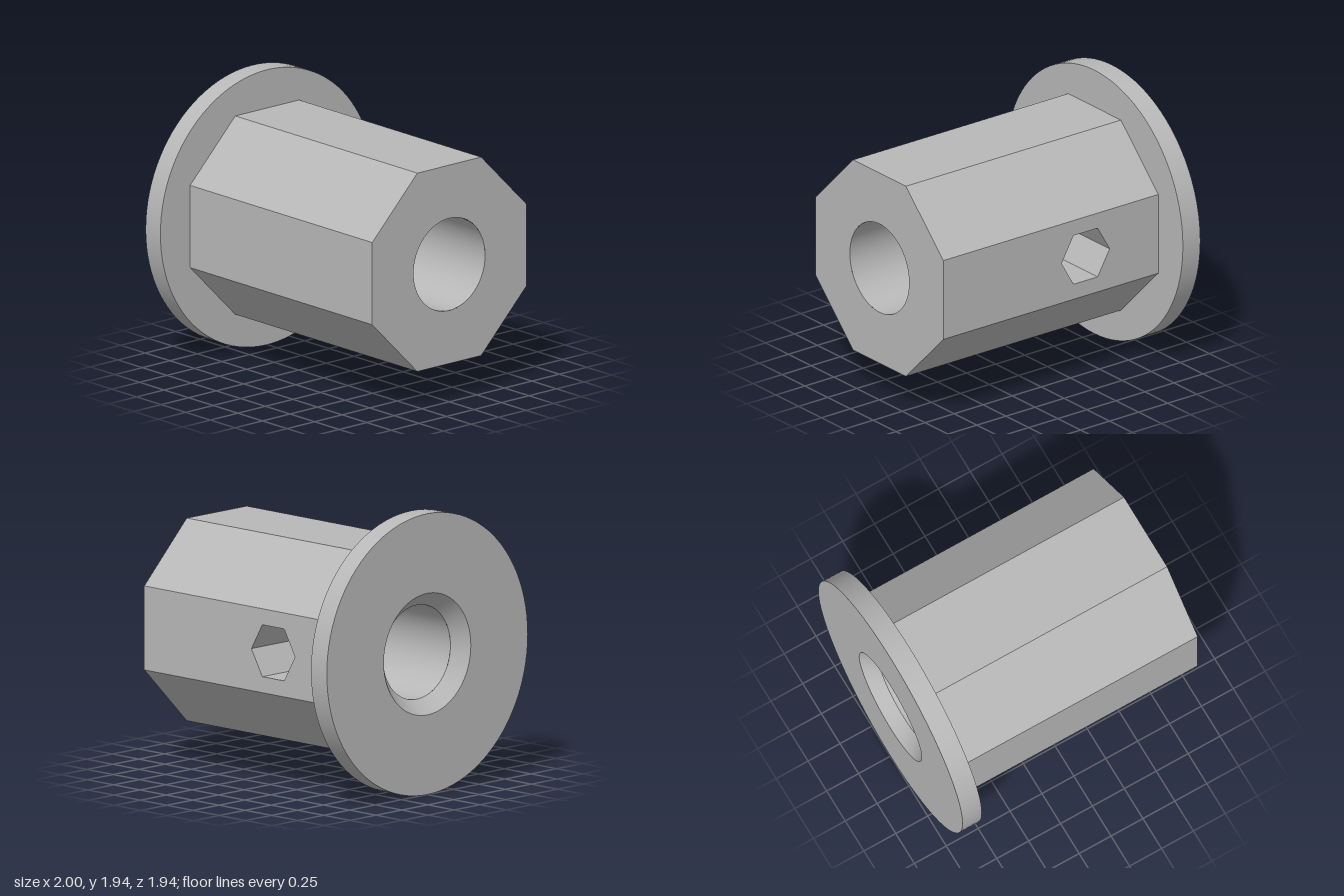
import * as THREE from 'three';
import { toCreasedNormals } from 'three/addons/utils/BufferGeometryUtils.js';

const AXIS_Y = 0.97;                       // height of the long axis
const FLANGE_R = 0.97, BORE_R = 0.325, SINK_R = 0.42;
const APOTHEM = 0.7, HALF_SIDE = APOTHEM * Math.tan(Math.PI / 8);
const X0 = -1, X1 = -0.85, X2 = 1, SINK_X = -0.9;
const HEX_X = -0.225, HEX_R = 0.207, HEX_H = HEX_R * Math.sqrt(3) / 2;
const DISC_X = 0.06, DISC_R = 0.28, DISC_DEPTH = 0.04;

// Smooth surface from a list of four-cornered patches
function patches(quads) {
  const pos = [];
  for (const [a, b, c, d] of quads) pos.push(...a, ...b, ...c, ...a, ...c, ...d);
  const g = new THREE.BufferGeometry();
  g.setAttribute('position', new THREE.Float32BufferAttribute(pos, 3));
  return toCreasedNormals(g, 0.5);
}

export function createModel() {
  const grey = new THREE.MeshStandardMaterial({ color: 0xb8b8b8 });
  grey.name = 'grey';
  const model = new THREE.Group();
  model.name = 'flangedOctagonalBush';
  const body = new THREE.Group();
  body.name = 'body';
  body.position.y = AXIS_Y;
  model.add(body);

  const add = (name, geometry) => {
    const mesh = new THREE.Mesh(geometry, grey);
    mesh.name = name;
    body.add(mesh);
    return mesh;
  };
  const band = (r0, h0, r1, h1) =>
    new THREE.LatheGeometry([new THREE.Vector2(r0, h0), new THREE.Vector2(r1, h1)], 96);

  // Flange with countersunk mouth, one band per face to keep edges sharp
  const flange = [
    ['countersink', BORE_R, SINK_X, SINK_R, X0],
    ['flangeOuterFace', SINK_R, X0, FLANGE_R, X0],
    ['flangeRim', FLANGE_R, X0, FLANGE_R, X1],
    ['flangeInnerFace', FLANGE_R, X1, 0.6, X1],
  ];
  for (const [name, ...profile] of flange) add(name, band(...profile).rotateZ(-Math.PI / 2));

  // Eight flat sides; the bottom has a round pocket, the back a hexagonal hole
  for (let i = 0; i < 8; i++) {
    const side = new THREE.Shape([
      new THREE.Vector2(X1, -HALF_SIDE), new THREE.Vector2(X2, -HALF_SIDE),
      new THREE.Vector2(X2, HALF_SIDE), new THREE.Vector2(X1, HALF_SIDE),
    ]);
    if (i === 2) side.holes.push(new THREE.Path().absarc(DISC_X, 0, DISC_R, 0, Math.PI * 2, true));
    if (i === 4) {
      const hex = [];
      for (let k = 0; k < 6; k++) {
        const a = -k * Math.PI / 3;
        hex.push(new THREE.Vector2(HEX_X + HEX_R * Math.cos(a), HEX_R * Math.sin(a)));
      }
      side.holes.push(new THREE.Path(hex));
    }
    add('sideFace' + i, new THREE.ShapeGeometry(side, 32)
      .translate(0, 0, APOTHEM).rotateX(i * Math.PI / 4));
  }

  // Octagonal end face around the bore
  const corners = [];
  for (let i = 0; i < 8; i++) {
    const a = (i + 0.5) * Math.PI / 4, r = APOTHEM / Math.cos(Math.PI / 8);
    corners.push(new THREE.Vector2(r * Math.cos(a), r * Math.sin(a)));
  }
  const end = new THREE.Shape(corners);
  end.holes.push(new THREE.Path().absarc(0, 0, BORE_R, 0, Math.PI * 2, true));
  add('endFace', new THREE.ShapeGeometry(end, 48).rotateY(Math.PI / 2).translate(X2, 0, 0));

  // Bore wall, opened where the hexagonal hole meets it (angle 0 is the back)
  const bore = [], hexWalls = [];
  const onBore = (x, t) => [x, BORE_R * Math.sin(t), -BORE_R * Math.cos(t)];
  const onSide = (x, t) => [x, BORE_R * Math.sin(t), -APOTHEM];
  const boreStrip = (xa, xb, ta, tb, xa2 = xa, xb2 = xb) =>
    bore.push([onBore(xa, ta), onBore(xb, ta), onBore(xb2, tb), onBore(xa2, tb)]);
  const T = Math.asin(HEX_H / BORE_R);
  const halfWidth = t => HEX_R - Math.abs(BORE_R * Math.sin(t)) / Math.sqrt(3);
  const N = 16, M = 60;
  for (let i = 0; i < N; i++) {
    const ta = -T + 2 * T * i / N, tb = -T + 2 * T * (i + 1) / N;
    const la = HEX_X - halfWidth(ta), lb = HEX_X - halfWidth(tb);
    const ra = HEX_X + halfWidth(ta), rb = HEX_X + halfWidth(tb);
    boreStrip(SINK_X, la, ta, tb, SINK_X, lb);
    boreStrip(ra, X2, ta, tb, rb, X2);
    hexWalls.push([onSide(la, ta), onSide(lb, tb), onBore(lb, tb), onBore(la, ta)]);
    hexWalls.push([onBore(ra, ta), onBore(rb, tb), onSide(rb, tb), onSide(ra, ta)]);
  }
  for (let i = 0; i < M; i++) {
    const step = (2 * Math.PI - 2 * T) / M;
    boreStrip(SINK_X, X2, T + i * step, T + (i + 1) * step);
  }
  const xl = HEX_X - HEX_R / 2, xr = HEX_X + HEX_R / 2;
  hexWalls.push([onSide(xl, -T), onBore(xl, -T), onBore(xr, -T), onSide(xr, -T)]);
  hexWalls.push([onSide(xr, T), onBore(xr, T), onBore(xl, T), onSide(xl, T)]);
  add('boreWall', patches(bore));
  add('hexHoleWalls', patches(hexWalls));

  // Round pocket in the bottom face, with a small oval boss
  const floor = -APOTHEM + DISC_DEPTH;
  add('pocketFloor', band(0, floor, DISC_R, floor)).position.x = DISC_X;
  add('pocketWall', band(DISC_R, floor, DISC_R, -APOTHEM)).position.x = DISC_X;
  const boss = add('pocketBoss', new THREE.CylinderGeometry(1, 1, DISC_DEPTH + 0.004, 48));
  boss.scale.set(0.11, 1, 0.08);
  boss.position.set(-0.03, floor - (DISC_DEPTH + 0.004) / 2, -0.01);

  return model;
}
